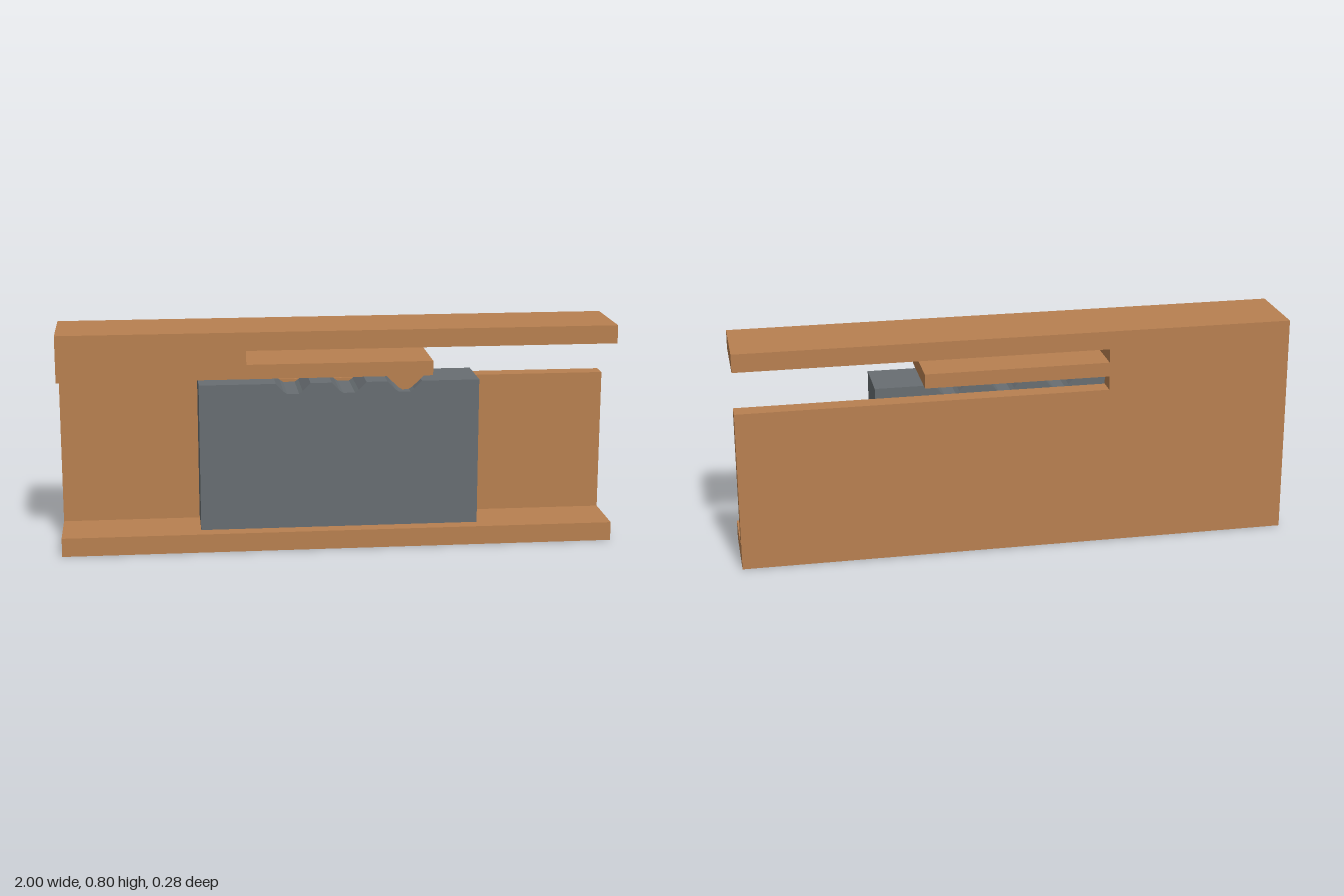
import * as THREE from 'three';

const brown = new THREE.MeshStandardMaterial({ name: 'warm brown', color: 0xb88050 });
const grey = new THREE.MeshStandardMaterial({ name: 'slate grey', color: 0x686e72 });

const FRONT = 0.142, BACK = -0.142, WALL = -0.074;
const BASE = 0.068, WALL_TOP = 0.586, ARM_LOW = 0.636, ARM_TOP = 0.688, RAIL_LOW = 0.738, TOP = 0.804;
const SLOT_X = -0.333;

// Extrude an x-y outline between two depths
function slab(name, points, z0, z1, material) {
  const shape = new THREE.Shape(points.map(([x, y]) => new THREE.Vector2(x, y)));
  const geometry = new THREE.ExtrudeGeometry(shape, { depth: z1 - z0, bevelEnabled: false });
  geometry.translate(0, 0, z0);
  const mesh = new THREE.Mesh(geometry, material);
  mesh.name = name;
  return mesh;
}

export function createModel() {
  const model = new THREE.Group();
  model.name = 'slidingLatch';

  // Channel housing: bottom rail and back wall, stepped down beside the spring arm
  const housing = new THREE.Group();
  housing.name = 'housing';
  housing.add(slab('bottomRail', [[-1, 0], [1, 0], [1, BASE], [-1, BASE]], BACK, FRONT, brown));
  housing.add(slab('backWall', [
    [-1, BASE], [1, BASE], [1, WALL_TOP], [SLOT_X, WALL_TOP], [SLOT_X, ARM_LOW], [-1, ARM_LOW],
  ], BACK, WALL, brown));

  // Top rail, end block and cantilever spring arm in one outline
  housing.add(slab('topRailAndSpringArm', [
    [-1, ARM_LOW], [0.333, ARM_LOW], [0.333, ARM_TOP], [SLOT_X, ARM_TOP],
    [SLOT_X, RAIL_LOW], [1, RAIL_LOW], [1, TOP], [-1, TOP],
  ], BACK, FRONT, brown));

  // Detent tooth under the arm, its back face sloping forward towards the tip
  const tooth = slab('detentTooth', [
    [0.167, ARM_LOW], [0.207, 0.596], [0.222, 0.587], [0.243, 0.587], [0.258, 0.596], [0.3, ARM_LOW],
  ], -0.042, FRONT, brown);
  const p = tooth.geometry.attributes.position;
  for (let i = 0; i < p.count; i++) {
    if (p.getZ(i) < 0) p.setZ(i, p.getZ(i) + ARM_LOW - p.getY(i));
  }
  tooth.geometry.computeVertexNormals();
  housing.add(tooth);
  model.add(housing);

  // Sliding block with three detent notches across its top
  const blockTop = 0.617;
  const outline = [[-0.502, 0.085], [0.5, 0.085], [0.5, blockTop]];
  for (const c of [0.231, 0.032, -0.168]) {
    for (const [dx, dy] of [[0.062, 0], [0.034, 0.029], [0.021, 0.038], [-0.021, 0.038], [-0.034, 0.029], [-0.062, 0]]) {
      outline.push([c + dx, blockTop - dy]);
    }
  }
  outline.push([-0.502, blockTop]);
  model.add(slab('slidingBlock', outline, -0.058, FRONT, grey));

  return model;
}
